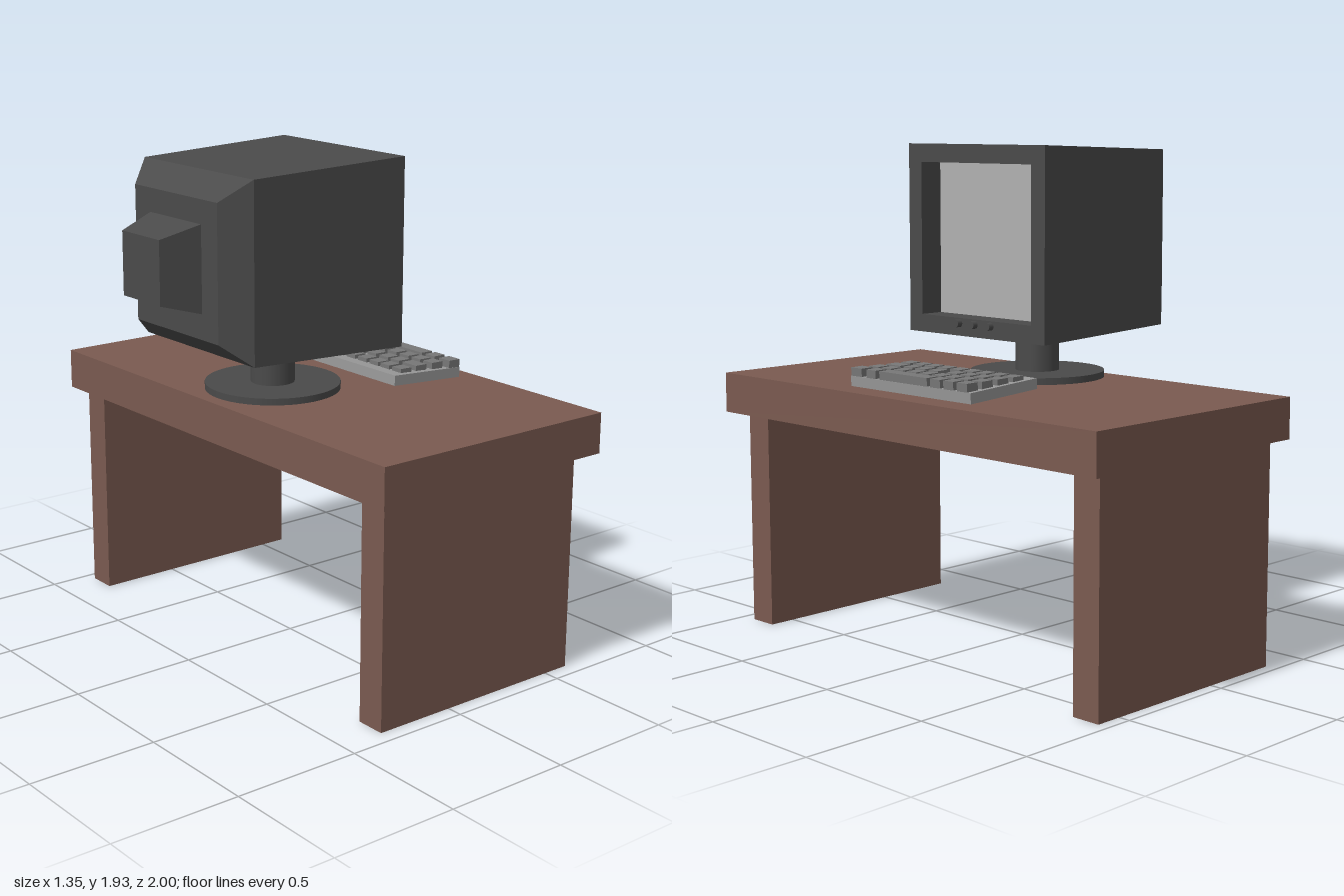
import * as THREE from 'three';

const material = (color) => new THREE.MeshStandardMaterial({ color });
const wood = material(0x7a5a50);
const casing = material(0x4a4a4a);
const glass = material(0xb0b0b0);
const plastic = material(0x989898);
const keyGrey = material(0x777777);

function add(parent, name, geometry, mat, x, y, z) {
  const mesh = new THREE.Mesh(geometry, mat);
  mesh.name = name;
  mesh.position.set(x, y, z);
  parent.add(mesh);
  return mesh;
}

// Box given by its limits on each axis
function addBox(parent, name, mat, [x0, x1], [y0, y1], [z0, z1]) {
  return add(parent, name, new THREE.BoxGeometry(x1 - x0, y1 - y0, z1 - z0), mat,
    (x0 + x1) / 2, (y0 + y1) / 2, (z0 + z1) / 2);
}

// Flat-sided loft through rectangles [x, yLow, yHigh, halfDepth], closed at the last one
function loft(sections) {
  const rings = sections.map(([x, y0, y1, w]) =>
    [[x, y0, w], [x, y0, -w], [x, y1, -w], [x, y1, w]]);
  const pos = [];
  const quad = (a, b, c, d) => pos.push(...a, ...b, ...c, ...a, ...c, ...d);
  for (let i = 0; i < rings.length - 1; i++) {
    for (let k = 0; k < 4; k++) {
      const n = (k + 1) % 4;
      quad(rings[i][k], rings[i + 1][k], rings[i + 1][n], rings[i][n]);
    }
  }
  const last = rings[rings.length - 1];
  quad(last[0], last[3], last[2], last[1]);
  const geometry = new THREE.BufferGeometry();
  geometry.setAttribute('position', new THREE.Float32BufferAttribute(pos, 3));
  geometry.computeVertexNormals();
  return geometry;
}

function createDesk() {
  const desk = new THREE.Group();
  desk.name = 'desk';
  addBox(desk, 'deskTop', wood, [-0.38, 0.675], [0.86, 1.018], [-1, 1]);
  addBox(desk, 'leftPanelLeg', wood, [-0.325, 0.607], [0, 0.86], [0.82, 0.938]);
  addBox(desk, 'rightPanelLeg', wood, [-0.325, 0.607], [0, 0.86], [-0.955, -0.838]);
  return desk;
}

function createMonitor() {
  const monitor = new THREE.Group();
  monitor.name = 'monitor';
  // Shell: recess wall, front rim, tapering body, chamfer and tube housing
  add(monitor, 'monitorShell', loft([
    [0.155, 1.275, 1.86, 0.293],
    [0.255, 1.275, 1.86, 0.293],
    [0.255, 1.207, 1.93, 0.362],
    [-0.425, 1.23, 1.907, 0.34],
    [-0.525, 1.312, 1.825, 0.258],
    [-0.525, 1.408, 1.735, 0.16],
    [-0.677, 1.45, 1.69, 0.118],
  ]), casing, 0, 0, -0.002);
  addBox(monitor, 'screen', glass, [0.145, 0.156], [1.275, 1.86], [-0.295, 0.291]);

  for (const z of [-0.085, 0, 0.083]) {
    const knob = add(monitor, 'knob', new THREE.CylinderGeometry(0.015, 0.015, 0.04, 16),
      plastic, 0.257, 1.255, z);
    knob.material = casing;
    knob.rotation.z = Math.PI / 2;
  }
  add(monitor, 'standNeck', new THREE.CylinderGeometry(0.085, 0.085, 0.19, 32), casing, -0.085, 1.135, 0);
  add(monitor, 'standBase', new THREE.CylinderGeometry(0.262, 0.262, 0.026, 48), casing, -0.085, 1.041, 0);
  return monitor;
}

function createKeyboard() {
  const keyboard = new THREE.Group();
  keyboard.name = 'keyboard';
  // Sloping body
  const body = addBox(keyboard, 'keyboardBody', plastic, [0.254, 0.592], [1.034, 1.074], [-0.325, 0.325]);
  body.rotation.z = -0.06;

  // Rows of keys: x centre, then [z centre, length] where length defaults to a square key
  const rows = [
    [0.333, [-0.28, -0.21, -0.14, -0.07, 0, 0.07, 0.14, 0.205, 0.275]],
    [0.411, [-0.28, -0.207, -0.137, -0.065, 0.035, 0.108, 0.175, [0.26, 0.08]]],
    [0.49, [-0.28, -0.207, -0.137, -0.07, 0, 0.068, 0.14, 0.21, 0.28]],
    [0.565, [-0.28, -0.21, -0.14, [0.033, 0.26], 0.21, [0.293, 0.06]]],
  ];
  for (const [x, keys] of rows) {
    for (const key of keys) {
      const [z, length] = Array.isArray(key) ? key : [key, 0.052];
      const mesh = add(keyboard, 'key', new THREE.BoxGeometry(0.054, 0.04, length), keyGrey, x, 1.076, z);
      mesh.rotation.z = -0.02;
    }
  }
  return keyboard;
}

export function createModel() {
  const model = new THREE.Group();
  model.name = 'computerDesk';
  model.add(createDesk(), createMonitor(), createKeyboard());
  return model;
}
